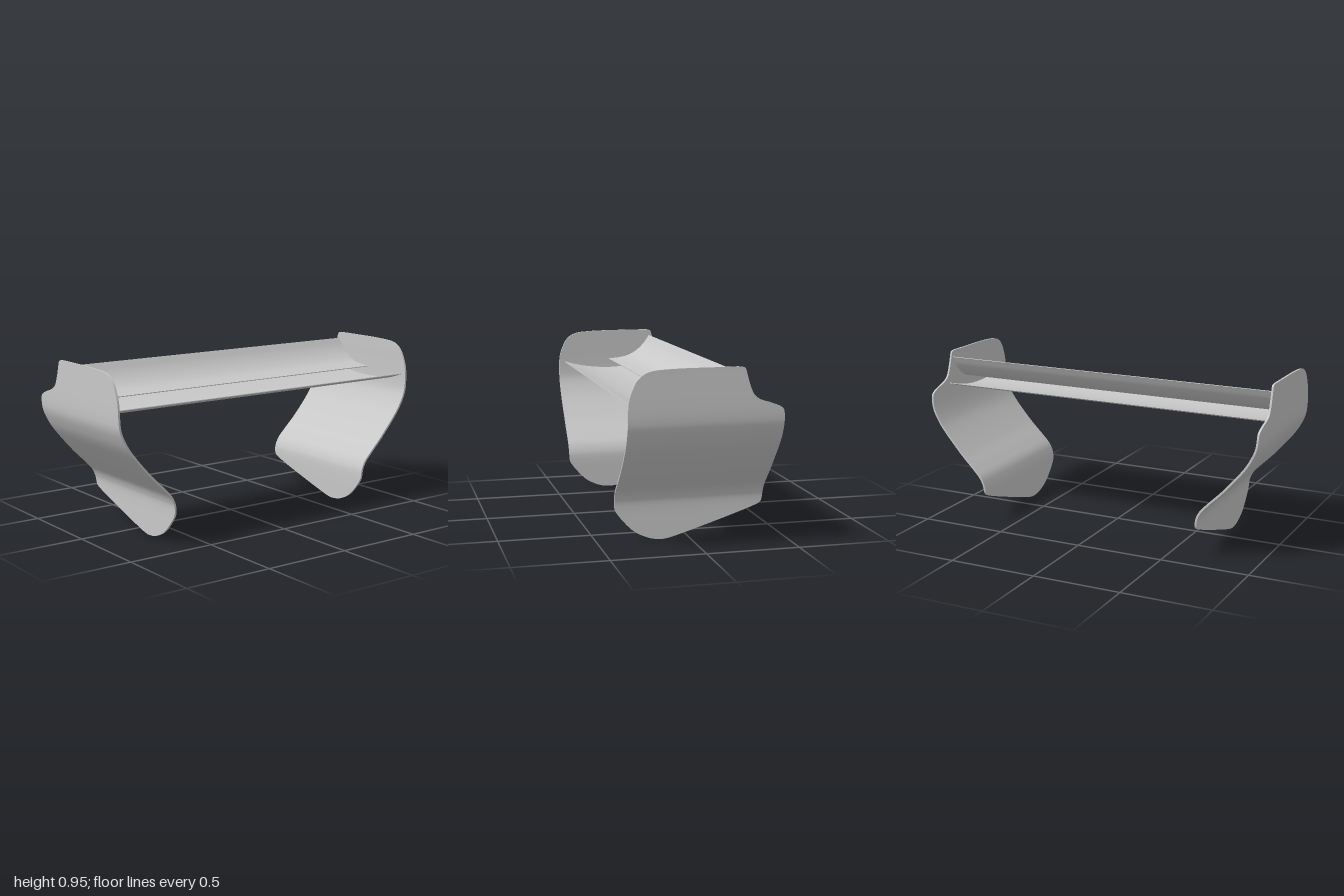
import * as THREE from 'three';
import { toCreasedNormals } from 'three/addons/utils/BufferGeometryUtils.js';

const HEIGHT = 0.953;

// Smooth dense polyline through a few 2D points
const smooth = (points, n) =>
  new THREE.CatmullRomCurve3(points.map(([a, b]) => new THREE.Vector3(a, b, 0))).getPoints(n);

// Lookup by height from [y, value] points
const byHeight = (points) => {
  const p = smooth(points, 240);
  return (y) => {
    let i = 1;
    while (i < p.length - 1 && p[i].x < y) i++;
    const a = p[i - 1], b = p[i];
    const t = THREE.MathUtils.clamp((y - a.x) / (b.x - a.x || 1), 0, 1);
    return a.y + (b.y - a.y) * t;
  };
};

// End plate outline and sideways bend, each as [y, value]
const frontEdge = byHeight([[0, 0.15], [0.005, 0.2], [0.022, 0.25], [0.05, 0.3], [0.1, 0.352],
  [0.165, 0.4], [0.19, 0.405], [0.45, 0.405], [0.76, 0.405], [0.8, 0.4], [0.85, 0.384],
  [0.9, 0.357], [0.93, 0.32], [0.943, 0.28], [0.95, 0.2], [HEIGHT, 0.1]]);
const backEdge = byHeight([[0, 0.14], [0.006, 0.105], [0.1, -0.205], [0.135, -0.31], [0.155, -0.365],
  [0.17, -0.395], [0.19, -0.405], [0.45, -0.405], [0.72, -0.405], [0.738, -0.396], [0.75, -0.375],
  [0.765, -0.335], [0.78, -0.287], [0.8, -0.253], [0.82, -0.238], [0.86, -0.222], [0.9, -0.21],
  [0.94, -0.198], [0.949, -0.19], [HEIGHT, -0.16]]);
const bend = byHeight([[0, 0.66], [0.2, 0.66], [0.23, 0.666], [0.27, 0.686], [0.32, 0.732],
  [0.4, 0.812], [0.54, 0.93], [0.6, 0.966], [0.65, 0.987], [0.7, 0.9945], [HEIGHT, 0.9945]]);

// Thin box reshaped to the outline and bent along its height
const endPlate = (side) => {
  const half = 0.0055;
  const geo = new THREE.BoxGeometry(1, 1, 1, 1, 140, 1);
  const pos = geo.attributes.position;
  for (let i = 0; i < pos.count; i++) {
    const face = Math.sign(pos.getX(i));
    const y = HEIGHT * (1 - Math.cos(Math.PI * (pos.getY(i) + 0.5))) / 2;
    const slope = side * (bend(y + 0.01) - bend(y - 0.01)) / 0.02;
    const k = face * half / Math.hypot(1, slope);
    const z = pos.getZ(i) > 0 ? frontEdge(y) : backEdge(y);
    pos.setXYZ(i, side * bend(y) + k, THREE.MathUtils.clamp(y - slope * k, 0, HEIGHT), z);
  }
  return toCreasedNormals(geo, 0.6);
};

// Wing blade: curved [z, y] centre line given thickness, swept across the span
const blade = (points, thickness) => {
  const line = smooth(points, 28);
  const upper = [], lower = [];
  line.forEach((p, i) => {
    const a = line[Math.max(i - 1, 0)], b = line[Math.min(i + 1, line.length - 1)];
    const d = b.clone().sub(a).normalize();
    const h = 0.002 + thickness / 2 * Math.sin(Math.PI * i / (line.length - 1));
    const nz = d.y * h, ny = -d.x * h;
    upper.push(new THREE.Vector2(-(p.x + nz), p.y + ny));
    lower.push(new THREE.Vector2(-(p.x - nz), p.y - ny));
  });
  const shape = new THREE.Shape([...lower, ...upper.reverse()]);
  const span = 1.98;
  const geo = new THREE.ExtrudeGeometry(shape, { depth: span, bevelEnabled: false });
  geo.translate(0, 0, -span / 2).rotateY(Math.PI / 2);
  return toCreasedNormals(geo, 0.6);
};

export function createModel() {
  const group = new THREE.Group();
  group.name = 'rearWing';
  const grey = new THREE.MeshStandardMaterial({ color: 0xc8c8c8 });
  grey.name = 'light grey';
  const add = (name, geo) => {
    const mesh = new THREE.Mesh(geo, grey);
    mesh.name = name;
    group.add(mesh);
  };

  add('leftEndPlate', endPlate(1));
  add('rightEndPlate', endPlate(-1));

  // Wide sagging lower blade
  add('mainBlade', blade([[0.37, 0.757], [0.28, 0.73], [0.18, 0.713], [0.07, 0.707],
    [-0.05, 0.717], [-0.15, 0.74], [-0.23, 0.765]], 0.01));
  // Short blade sweeping up behind
  add('upperFlap', blade([[0.08, 0.768], [0.01, 0.772], [-0.055, 0.786], [-0.11, 0.818],
    [-0.155, 0.863], [-0.188, 0.914]], 0.008));
  return group;
}
